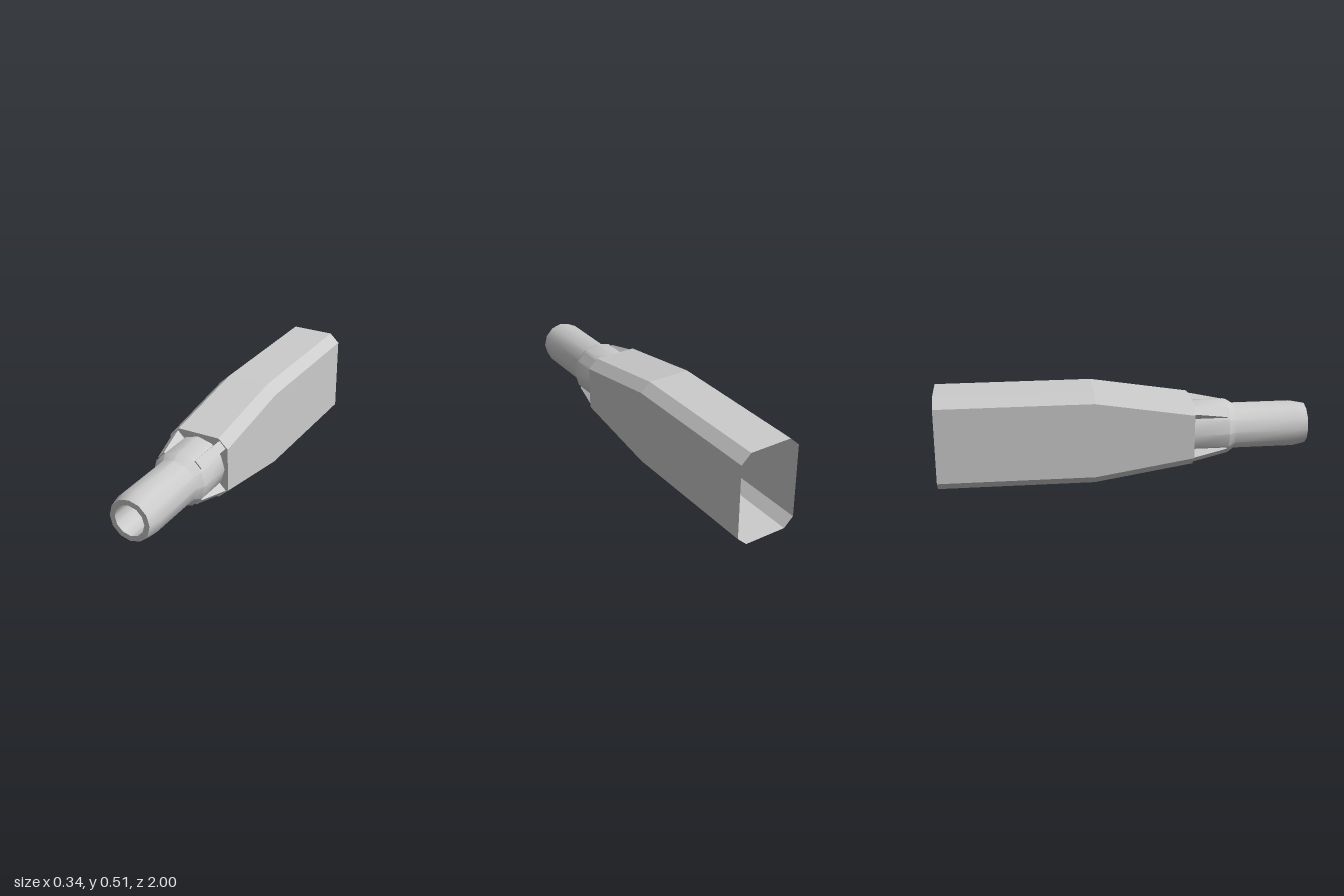
import * as THREE from 'three';
import { toCreasedNormals } from 'three/addons/utils/BufferGeometryUtils.js';

const AXIS_Y = 0.255; // height of the long axis
const SHOULDER = 0.365; // z where the housing meets the barrel

// Chamfered rectangle, counter-clockwise seen from +z
function section(z, halfHeight) {
  const w = 0.17, cx = 0.117, h = halfHeight, cy = halfHeight - 0.05;
  return [[w, -cy], [w, cy], [cx, h], [-cx, h], [-w, cy], [-w, -cy], [-cx, -h], [cx, -h]]
    .map(([x, y]) => [x, y, z]);
}

// Hollow housing: open at the back, closed at the front
function housingGeometry() {
  const rings = [section(-1, 0.255), section(-0.165, 0.255), section(SHOULDER, 0.17)];
  const pos = [];
  const tri = (a, b, c) => pos.push(...a, ...b, ...c);
  for (let k = 0; k < rings.length - 1; k++) {
    for (let i = 0; i < 8; i++) {
      const j = (i + 1) % 8;
      tri(rings[k][i], rings[k][j], rings[k + 1][j]);
      tri(rings[k][i], rings[k + 1][j], rings[k + 1][i]);
    }
  }
  const front = rings[rings.length - 1];
  for (let i = 1; i < 7; i++) tri(front[0], front[i], front[i + 1]);
  const geo = new THREE.BufferGeometry();
  geo.setAttribute('position', new THREE.Float32BufferAttribute(pos, 3));
  geo.computeVertexNormals();
  return geo;
}

// Twelve-sided barrel with a collar, bevelled muzzle and bore
function barrelGeometry() {
  const profile = [
    [0.151, SHOULDER], [0.151, 0.56], [0.126, 0.6], [0.126, 0.93],
    [0.112, 1], [0.083, 1], [0.083, SHOULDER],
  ].map(([r, z]) => new THREE.Vector2(r, z));
  const geo = new THREE.LatheGeometry(profile, 12);
  geo.rotateX(Math.PI / 2);
  return toCreasedNormals(geo, 0.6);
}

// Wedge rib: local x is radial, local z runs along the barrel
function ribGeometry() {
  const width = 0.051;
  const shape = new THREE.Shape([
    [0.12, SHOULDER], [0.198, SHOULDER], [0.153, 0.55], [0.12, 0.55],
  ].map(([r, z]) => new THREE.Vector2(r, z)));
  const geo = new THREE.ExtrudeGeometry(shape, { depth: width, bevelEnabled: false });
  geo.translate(0, 0, -width / 2);
  geo.rotateX(Math.PI / 2);
  return geo;
}

export function createModel() {
  const model = new THREE.Group();
  model.name = 'barrelShroud';
  const solid = new THREE.MeshStandardMaterial({ color: 0xcccccc });
  const thin = new THREE.MeshStandardMaterial({ color: 0xcccccc, side: THREE.DoubleSide });

  const add = (name, geometry, material) => {
    const mesh = new THREE.Mesh(geometry, material);
    mesh.name = name;
    mesh.position.y = AXIS_Y;
    model.add(mesh);
    return mesh;
  };

  add('housing', housingGeometry(), thin);
  add('barrel', barrelGeometry(), solid);

  // Four ribs on the diagonals of the collar
  const rib = ribGeometry();
  ['upperLeftRib', 'upperRightRib', 'lowerRightRib', 'lowerLeftRib'].forEach((name, i) => {
    add(name, rib, solid).rotation.z = Math.PI / 4 + (i * Math.PI) / 2;
  });

  return model;
}
